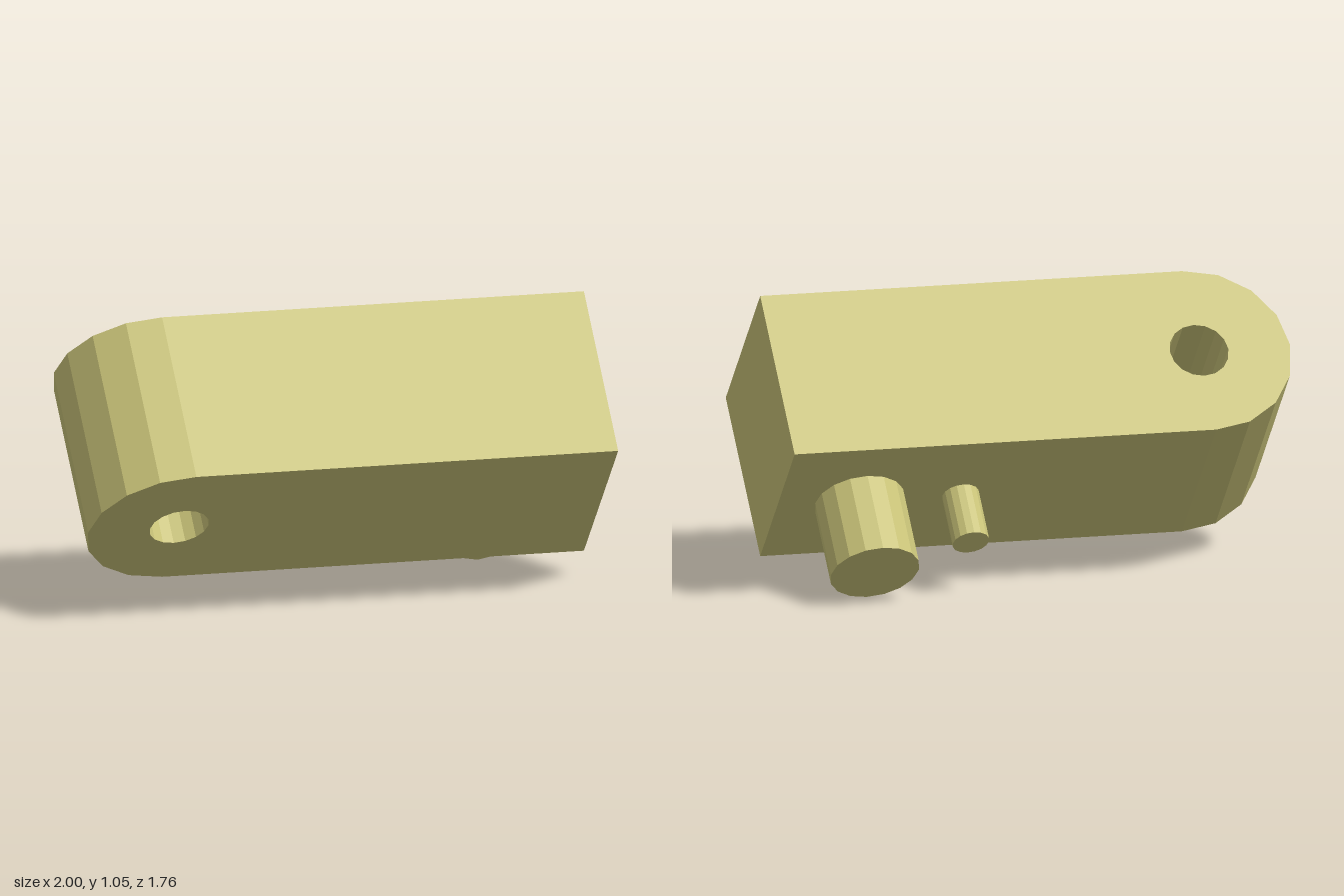
import * as THREE from 'three';

const R = 0.3375;        // half the bar's square section
const STRAIGHT = 1.562;  // bar length up to the centre of the rounded end

const material = new THREE.MeshStandardMaterial({ color: 0xc8c278, flatShading: true });

function add(parent, name, geometry) {
  const mesh = new THREE.Mesh(geometry, material);
  mesh.name = name;
  parent.add(mesh);
  return mesh;
}

// Bar with one rounded end and a cross hole, drawn along x and extruded along z
function barGeometry() {
  const shape = new THREE.Shape();
  shape.moveTo(0, 0);
  shape.lineTo(STRAIGHT, 0);
  shape.absarc(STRAIGHT, R, R, -Math.PI / 2, Math.PI / 2, false);
  shape.lineTo(0, 2 * R);
  shape.closePath();

  const hole = new THREE.Path();
  hole.absarc(STRAIGHT, R, 0.108, 0, -Math.PI, true);
  hole.absarc(STRAIGHT, R, 0.108, Math.PI, 0, true);
  shape.holes.push(hole);

  return new THREE.ExtrudeGeometry(shape, { depth: 2 * R, bevelEnabled: false, curveSegments: 4 });
}

// Peg standing out of the bar's +y side
function addPeg(parent, name, along, radius, length) {
  const peg = add(parent, name, new THREE.CylinderGeometry(radius, radius, length, 16));
  peg.position.set(along, 2 * R + length / 2, R);
}

export function createModel() {
  const model = new THREE.Group();
  const lever = new THREE.Group();
  lever.name = 'lever';
  model.add(lever);

  add(lever, 'roundedBar', barGeometry());
  addPeg(lever, 'largePeg', 0.303, 0.163, 0.306);
  addPeg(lever, 'smallPeg', 0.678, 0.067, 0.204);

  // Tilt the lever on its long edge: x = along the bar, y = peg direction, z = hole direction
  const a = Math.sqrt(1 / 6), b = Math.sqrt(1 / 2), c = Math.sqrt(1 / 3);
  const tilt = new THREE.Matrix4().makeBasis(
    new THREE.Vector3(-2 * a, 0, c),
    new THREE.Vector3(-a, -b, -c),
    new THREE.Vector3(a, -b, c)
  );
  lever.quaternion.setFromRotationMatrix(tilt);
  lever.position.set(0.723, 1.05, -0.49);
  return model;
}
